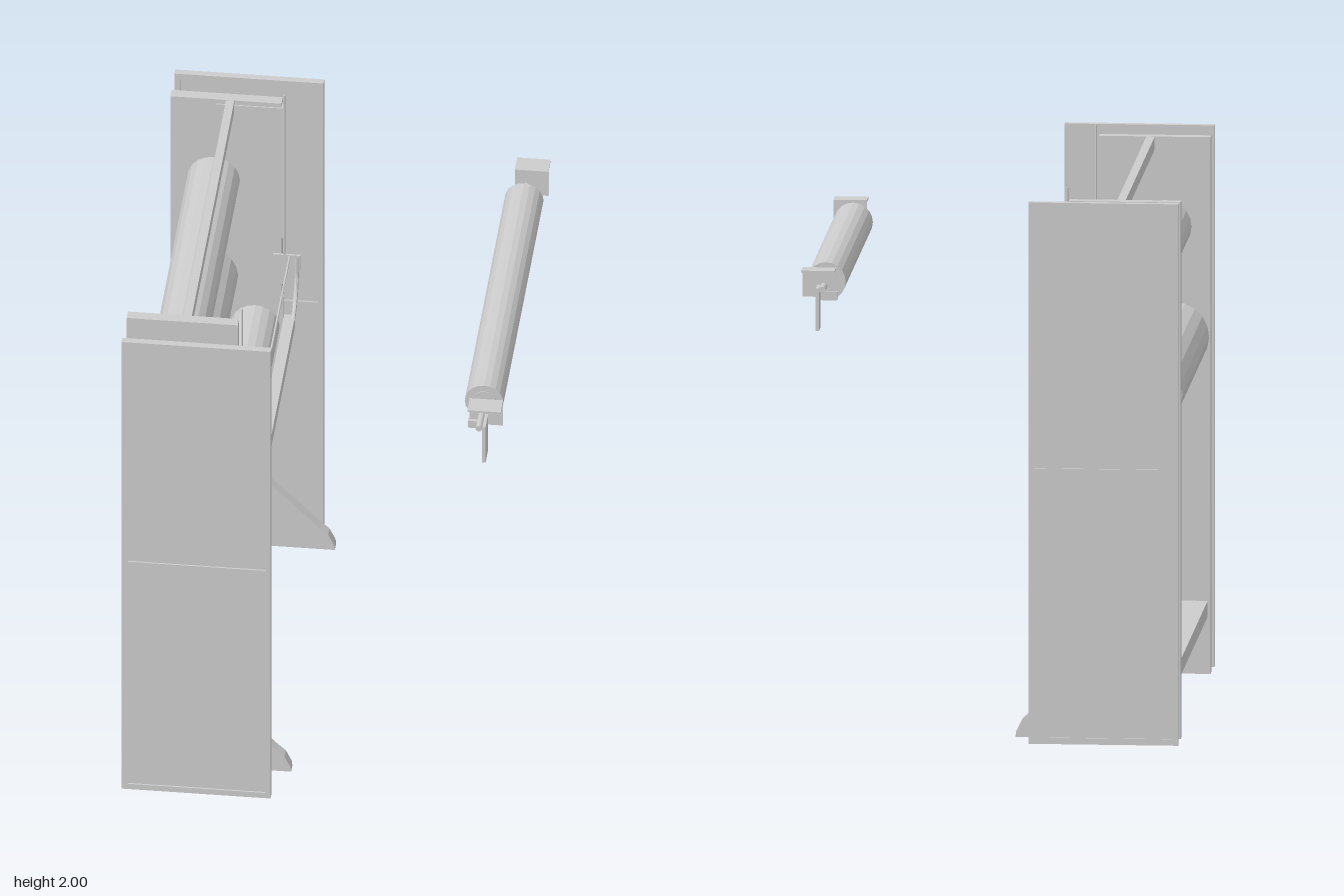
import * as THREE from 'three';

const grey = new THREE.MeshStandardMaterial({ color: 0xcccccc, flatShading: true, side: THREE.DoubleSide });

function add(parent, name, geometry, x = 0, y = 0, z = 0) {
  const mesh = new THREE.Mesh(geometry, grey);
  mesh.name = name;
  mesh.position.set(x, y, z);
  parent.add(mesh);
  return mesh;
}

// Box given by its limits on each axis
function box(parent, name, x0, x1, y0, y1, z0, z1) {
  return add(parent, name, new THREE.BoxGeometry(x1 - x0, y1 - y0, Math.abs(z1 - z0)),
    (x0 + x1) / 2, (y0 + y1) / 2, (z0 + z1) / 2);
}

// Cylinder along z between two depths
function rod(parent, name, x, y, z0, z1, r, sides = 20) {
  const g = new THREE.CylinderGeometry(r, r, Math.abs(z1 - z0), sides).rotateX(Math.PI / 2);
  return add(parent, name, g, x, y, (z0 + z1) / 2);
}

function outline(points) {
  return points.map(([x, y]) => new THREE.Vector2(x, y));
}

function rect(x0, x1, y0, y1) {
  return outline([[x0, y0], [x1, y0], [x1, y1], [x0, y1]]);
}

function extrude(shape, depth) {
  return new THREE.ExtrudeGeometry(shape, { depth, bevelEnabled: false });
}

// Outer cover: a frame with two recessed fields
function coverPanel(z) {
  const group = new THREE.Group();
  group.name = 'coverPanel';
  const frame = new THREE.Shape(rect(-0.68, -0.143, 0.005, 1.97));
  for (const [y0, y1] of [[0.028, 0.965], [1.005, 1.947]]) {
    frame.holes.push(new THREE.Path(rect(-0.657, -0.162, y0, y1)));
    box(group, 'panelField', -0.657, -0.162, y0, y1, z - 0.007, z + 0.007);
  }
  add(group, 'panelFrame', extrude(frame, 0.026), 0, 0, z - 0.013);
  return group;
}

// Upright with a notch under the lower roller and a sloping foot
function sidePlate(z) {
  const shape = new THREE.Shape(outline([
    [-0.68, 0.01], [-0.088, 0.01], [-0.09, 0.03], [-0.112, 0.075], [-0.14, 0.1], [-0.32, 0.28],
    [-0.32, 0.71], [-0.5, 0.71], [-0.5, 0.87], [-0.28, 0.955], [-0.28, 1.958], [-0.68, 1.958],
  ]));
  const group = new THREE.Group();
  add(group, 'sidePlate', extrude(shape, 0.04), 0, 0, z - 0.02);
  return group;
}

function roller(name, x, y, r, z0, z1, shaftR, s0, s1) {
  const group = new THREE.Group();
  group.name = name;
  rod(group, 'rollerBody', x, y, z0, z1, r);
  rod(group, 'rollerShaft', x, y, s0, s1, shaftR, 12);
  return group;
}

// Angle bracket with a fin; side is +1 or -1, z is its inner face
function hangerBracket(side, z) {
  const group = new THREE.Group();
  group.name = 'hangerBracket';
  box(group, 'backPlate', 0.555, 0.675, 1.6, 1.706, z, z + side * 0.007);
  box(group, 'topFlange', 0.555, 0.675, 1.699, 1.706, z, z + side * 0.075);
  box(group, 'fin', 0.61, 0.622, 1.49, 1.645, z + side * 0.005, z + side * 0.088);
  box(group, 'lowerLip', 0.55, 0.615, 1.59, 1.62, z, z + side * 0.02);
  return group;
}

export function createModel() {
  const model = new THREE.Group();
  model.name = 'rollerStand';
  const mid = -0.028; // the inner frame sits slightly off centre

  for (const side of [1, -1]) {
    model.add(coverPanel(side * 0.829), sidePlate(mid + side * 0.685));
    const inner = mid + side * 0.665;

    // Bearings of the inner rollers
    rod(model, 'upperBearing', -0.52, 1.64, inner, inner - side * 0.015, 0.035, 16);
    rod(model, 'middleBearing', -0.553, 1.24, inner, inner - side * 0.015, 0.045, 16);
    rod(model, 'lowerBearing', -0.37, 1.01, inner, inner - side * 0.02, 0.03, 16);
    box(model, 'bearingBlock', -0.44, -0.275, 0.965, 1.1, inner, inner + side * 0.025);

    // Hanging wire, its gusset and the curved arm that carries the guide bar
    const wireZ = mid + side * 0.66;
    const wire = new THREE.CylinderGeometry(0.004, 0.004, 0.72, 8);
    add(model, 'hangingWire', wire, -0.27, 1.64, wireZ);
    const gusset = new THREE.Shape(outline([[-0.31, 1.16], [-0.25, 1.18], [-0.21, 1.24], [-0.21, 1.3], [-0.31, 1.3]]));
    add(model, 'armGusset', extrude(gusset, 0.008), 0, 0, wireZ - 0.004);
    const path = new THREE.CatmullRomCurve3([[1.29, 0.66], [1.2, 0.655], [1.13, 0.615], [1.095, 0.55]]
      .map(([y, z]) => new THREE.Vector3(-0.225, y, mid + side * z)));
    add(model, 'curvedArm', new THREE.TubeGeometry(path, 14, 0.008, 8));
  }

  // Cross members
  box(model, 'topBar', -0.48, -0.45, 1.91, 1.957, -0.693, 0.637);
  box(model, 'lowerShelf', -0.67, -0.335, 0.217, 0.275, -0.693, 0.637);
  box(model, 'controlCover', -0.515, -0.272, 1.37, 1.94, -0.73, -0.688);
  rod(model, 'crossWire', -0.25, 1.295, -0.69, 0.635, 0.004, 8);

  // Guide bar in front of the lower roller
  box(model, 'guideBar', -0.26, -0.22, 1.05, 1.1, -0.6, 0.575);
  box(model, 'guideLip', -0.25, -0.232, 1.02, 1.05, -0.6, 0.575);

  // Rollers
  model.add(
    roller('upperRoller', -0.52, 1.64, 0.095, -0.65, 0.6, 0.014, -0.74, 0.68),
    roller('middleRoller', -0.553, 1.24, 0.125, -0.62, 0.6, 0.02, -0.74, 0.705),
    roller('lowerRoller', -0.37, 1.005, 0.088, -0.653, 0.602, 0.024, -0.7, 0.645),
    roller('frontRoller', 0.598, 1.64, 0.07, -0.65, 0.6, 0.012, -0.83, 0.768),
    hangerBracket(1, 0.676),
    hangerBracket(-1, -0.736),
  );
  for (const [z0, z1] of [[0.6, 0.603], [-0.65, -0.653]]) {
    rod(model, 'rollerCap', 0.598, 1.64, z0, z1, 0.045, 16);
  }

  // Tilted control box with a round knob
  const control = new THREE.Group();
  control.name = 'controlBox';
  control.position.set(-0.257, 1.46, 0);
  control.rotation.z = -0.36;
  box(control, 'boxFront', -0.025, 0.025, -0.095, 0.095, 0.564, 0.655);
  box(control, 'boxSide', -0.055, 0.02, -0.09, 0.035, 0.655, 0.718);
  const knob = add(control, 'knob', new THREE.CylinderGeometry(0.02, 0.02, 0.012, 16), 0.027, -0.005, 0.605);
  knob.rotation.z = Math.PI / 2;
  model.add(control);

  return model;
}
